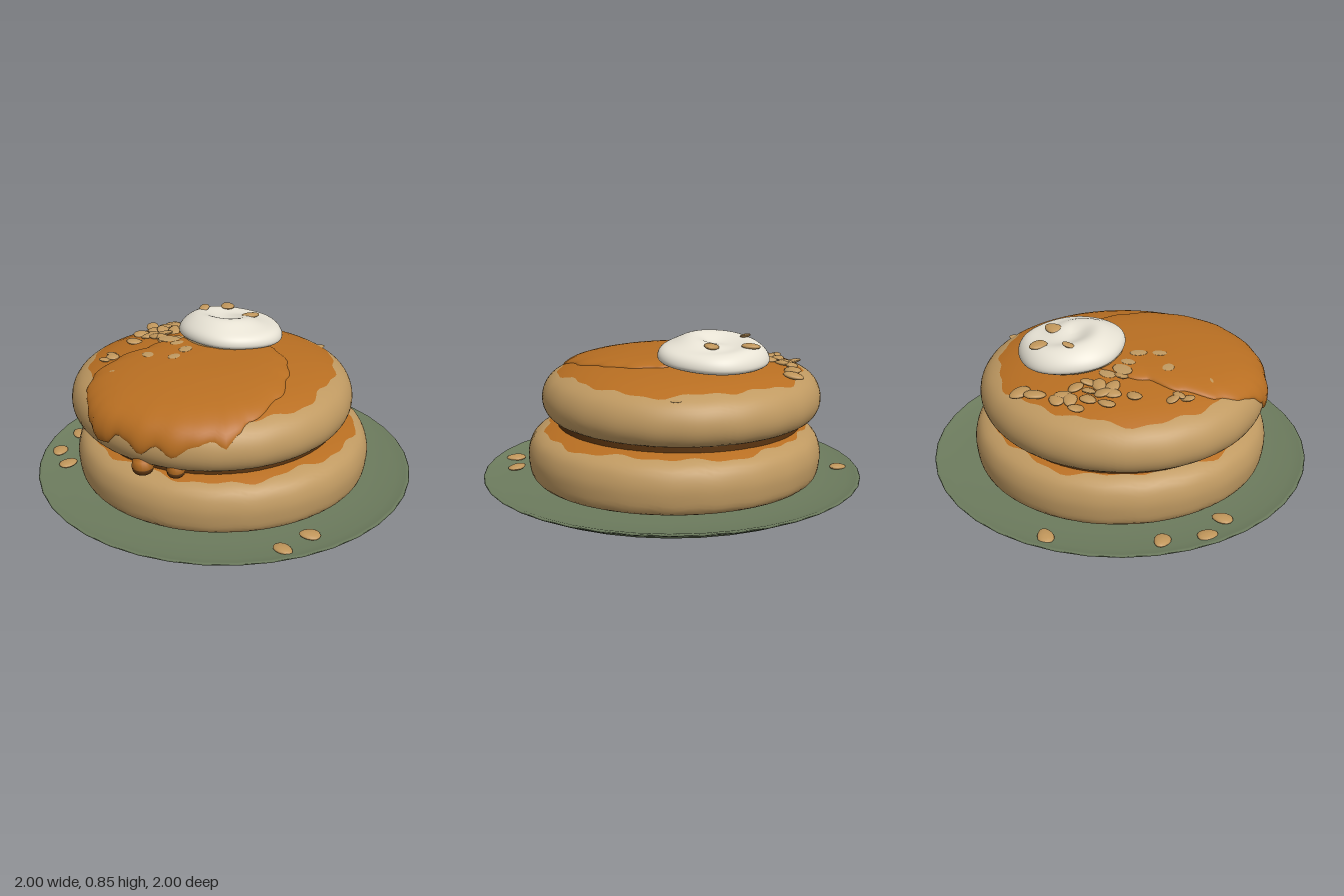
import * as THREE from 'three';

const mat = (name, color, side = THREE.FrontSide) => {
  const m = new THREE.MeshStandardMaterial({ color, side });
  m.name = name;
  return m;
};
const TAU = Math.PI * 2;

// Closed ring surface: point(angle, row) gives each vertex; bands = [rowCount, materialIndex]
function ringSurface(segs, bands, point) {
  const rows = bands.reduce((n, b) => n + b[0], 0);
  const pos = [], index = [];
  for (let i = 0; i <= rows; i++)
    for (let j = 0; j < segs; j++) pos.push(...point((j / segs) * TAU, i));
  for (let i = 0; i < rows; i++)
    for (let j = 0; j < segs; j++) {
      const k = (j + 1) % segs, a = i * segs + j, b = i * segs + k;
      index.push(a, b, a + segs, b, b + segs, a + segs);
    }
  const g = new THREE.BufferGeometry();
  g.setAttribute('position', new THREE.Float32BufferAttribute(pos, 3));
  g.setIndex(index);
  let start = 0;
  for (const [n, m] of bands) {
    g.addGroup(start, n * segs * 6, m);
    start += n * segs * 6;
  }
  g.computeVertexNormals();
  return g;
}

// Half section from the top centre to the bottom centre
const section = (pts) => new THREE.CatmullRomCurve3(pts.map(([r, y]) => new THREE.Vector3(r, y, 0)));
const upper = section([[0, 0.715], [0.3, 0.703], [0.5, 0.675], [0.62, 0.642], [0.7, 0.595], [0.735, 0.53],
  [0.735, 0.46], [0.7, 0.405], [0.62, 0.385], [0.3, 0.385], [0, 0.385]]);
const lower = section([[0, 0.385], [0.3, 0.382], [0.55, 0.37], [0.66, 0.352], [0.74, 0.31], [0.77, 0.24],
  [0.77, 0.17], [0.755, 0.11], [0.72, 0.085], [0.3, 0.08], [0, 0.08]]);
const UP = { x: -0.065, z: -0.005 };

// Two-tone pancake: browned top, pale side, browned underside
function pancake(curve, capReach, seed) {
  const len = curve.getLength();
  const edge = (a, s) => 0.014 * Math.sin(5 * a + s) + 0.012 * Math.sin(11 * a + 2 * s) + 0.008 * Math.sin(23 * a + s);
  return ringSurface(120, [[12, 0], [18, 1], [6, 0]], (a, i) => {
    const t1 = (capReach + edge(a, seed)) / len;
    const t2 = 1 - (0.63 + edge(a, seed + 2)) / len;
    const u = i <= 12 ? t1 * i / 12 : i <= 30 ? t1 + (t2 - t1) * (i - 12) / 18 : t2 + (1 - t2) * (i - 30) / 6;
    const p = curve.getPointAt(Math.min(1, u));
    const w = 1 + 0.006 * Math.sin(3 * a + seed);
    return [p.x * w * Math.cos(a), p.y, p.x * w * Math.sin(a)];
  });
}

// Reach of the syrup along the section: [angle in degrees, distance]
const reach = [[0, 0.4], [20, 0.46], [40, 0.56], [60, 0.67], [66, 0.74], [70, 0.8], [75, 0.76], [82, 0.79],
  [90, 0.85], [96, 0.8], [103, 0.86], [108, 0.81], [113, 0.79], [119, 0.86], [124, 0.87], [129, 0.8], [136, 0.73],
  [142, 0.7], [152, 0.63], [165, 0.5], [180, 0.36], [215, 0.27], [270, 0.2], [310, 0.25], [335, 0.34], [360, 0.4]];
function reachAt(a) {
  const d = THREE.MathUtils.radToDeg(a) % 360;
  const k = reach.findIndex((e) => e[0] > d), [d0, r0] = reach[k - 1], [d1, r1] = reach[k];
  const f = (d - d0) / (d1 - d0);
  return r0 + (r1 - r0) * f * f * (3 - 2 * f);
}
function syrupSheet() {
  const len = upper.getLength(), rows = 26;
  return ringSurface(180, [[rows, 0]], (a, i) => {
    const v = 1 - (1 - i / rows) ** 1.6, u = v * reachAt(a) / len;
    const p = upper.getPointAt(u), t = upper.getTangentAt(u);
    const off = 0.026 * Math.sqrt(Math.max(0, 1 - v ** 8)) - 0.004;
    const r = i === 0 ? 0 : p.x - t.y * off;
    return [r * Math.cos(a), p.y + t.x * off, r * Math.sin(a)];
  });
}

// Height of the stack's top
function topY(x, z) {
  const r = Math.hypot(x - UP.x, z - UP.z);
  return r < 0.3 ? 0.715 - 0.13 * r * r : r < 0.62 ? 0.703 - 0.19 * (r - 0.3) : 0.642 - 0.6 * (r - 0.62);
}

// Whipped cream: tilted dollop with a swirl and a dimple
const CREAM = { x: -0.03, z: -0.268, r: 0.278 };
function creamY(q, a) {
  const x = q * Math.cos(a), z = q * Math.sin(a);
  const dome = 0.088 * Math.sqrt(Math.max(0, 1 - q ** 4));
  const swirl = 0.018 * Math.sin(Math.PI * Math.min(1, q)) * Math.cos(a - 1.9 - 5 * (q - 0.5));
  const dimple = -0.02 * Math.exp(-((q / 0.28) ** 2));
  return 0.738 + 0.022 * z - 0.006 * x + dome + swirl + dimple;
}
function cream() {
  const up = 22, under = 6;
  return ringSurface(72, [[up + under, 0]], (a, i) => {
    const edge = 1 + 0.025 * Math.sin(2 * a + 0.6) + 0.012 * Math.sin(5 * a);
    const q = i <= up ? Math.sin((i / up) * Math.PI / 2) : 1 - 0.2 * ((i - up) / under) ** 2;
    const y = i <= up ? creamY(q, a) : creamY(1, a) - 0.028 * Math.sin(((i - up) / under) * Math.PI / 2);
    const r = q * edge * CREAM.r;
    return [r * Math.cos(a), y, r * Math.sin(a)];
  });
}

export function createModel() {
  const root = new THREE.Group();
  const green = mat('plateGreen', 0x6d7c5e, THREE.DoubleSide);
  const brown = mat('syrupBrown', 0xb96f22);
  const tan = mat('pancakeTan', 0xc09a62);
  const dark = mat('darkSyrup', 0x5a3410);
  const white = mat('creamWhite', 0xe8e3d5);
  const nutTan = mat('nutTan', 0xbf955a);
  const add = (name, geo, m, x = 0, y = 0, z = 0) => {
    const o = new THREE.Mesh(geo, m);
    o.name = name;
    o.position.set(x, y, z);
    root.add(o);
    return o;
  };

  // Plate
  const plate = [[0, 0], [0.52, 0], [0.54, 0.008], [0.72, 0.025], [0.9, 0.045], [0.99, 0.088], [1, 0.095], [0.995, 0.1],
    [0.98, 0.099], [0.93, 0.083], [0.8, 0.073], [0.6, 0.068], [0, 0.065]];
  add('plate', new THREE.LatheGeometry(plate.map(([r, y]) => new THREE.Vector2(r, y)), 40), green);

  // Stack with syrup filling
  add('bottomPancake', pancake(lower, 0.69, 1.3), [brown, tan], -0.01, 0, -0.005);
  add('filling', new THREE.CylinderGeometry(0.645, 0.645, 0.045, 64), dark, -0.045, 0.37, -0.005);
  add('topPancake', pancake(upper, 0.65, 4.1), [brown, tan], UP.x, 0, UP.z);
  add('syrup', syrupSheet(), brown, UP.x, 0, UP.z);

  // Hanging drips
  for (const [x, w] of [[-0.23, 0.055], [-0.065, 0.046]]) {
    const drip = [[0, -0.05], [0.6, -0.042], [1, -0.01], [0.85, 0.025], [0.4, 0.05], [0.3, 0.09], [0.4, 0.13]]
      .map(([r, y]) => new THREE.Vector2(r * w, y));
    add('drip', new THREE.LatheGeometry(drip, 20), brown, x, 0.395, 0.668);
    const tip = add('dripTip', new THREE.SphereGeometry(w * 0.96, 20, 10), dark, x, 0.375, 0.668);
    tip.scale.y = 0.7;
  }

  // Pale spots on the browned top: x, z, radius
  for (const [x, z, r] of [[0.42, -0.02, 0.028], [0.29, -0.35, 0.032], [0.3, -0.22, 0.025], [0.42, -0.46, 0.035],
    [-0.33, -0.1, 0.055], [-0.27, -0.05, 0.035], [-0.2, 0.03, 0.04], [-0.36, 0.12, 0.045], [-0.23, 0.13, 0.035],
    [-0.31, -0.17, 0.045]]) {
    const inSyrup = Math.hypot(x - UP.x, z - UP.z) < reachAt((Math.atan2(z - UP.z, x - UP.x) + TAU) % TAU);
    const spot = add('paleSpot', new THREE.SphereGeometry(r, 14, 8), tan, x, topY(x, z) + (inSyrup ? 0.021 : 0), z);
    spot.scale.set(1.1, 0.1, 0.8);
    spot.rotation.y = x * 9;
  }

  // Cream on a thin pale base
  const base = add('creamBase', new THREE.SphereGeometry(0.262, 40, 12), tan, CREAM.x, 0.717, CREAM.z);
  base.scale.y = 0.1;
  base.rotation.x = -0.07;
  add('cream', cream(), white, CREAM.x, 0, CREAM.z);

  // Chopped nuts: flat tapered ovals
  const nutGeo = new THREE.SphereGeometry(1, 14, 10);
  const p = nutGeo.attributes.position;
  for (let i = 0; i < p.count; i++) p.setZ(i, p.getZ(i) * (1 - 0.2 * p.getX(i)));
  nutGeo.computeVertexNormals();
  let n = 0;
  const nut = (x, y, z, size, tilt) => {
    const o = add('nut', nutGeo, nutTan, x, y, z);
    o.scale.set(size, size * 0.28, size * 0.75);
    o.rotation.set(tilt * Math.sin(n * 2.1), n * 2.4, tilt * Math.cos(n * 1.7));
    n++;
  };
  for (const [x, z] of [[-0.67, -0.6], [-0.88, -0.09], [-0.91, 0.13], [-0.81, 0.25], [0.58, 0.61], [0.48, 0.76]])
    nut(x, 0.088, z, 0.053, 0.08);
  for (const [x, z] of [[-0.27, -0.6], [-0.33, -0.54], [-0.42, -0.46], [-0.45, -0.4], [-0.52, -0.39], [-0.4, -0.42],
    [-0.48, -0.32], [-0.42, -0.3], [-0.37, -0.35], [-0.46, -0.24], [-0.54, -0.25], [-0.4, -0.24], [-0.43, -0.18],
    [-0.36, -0.28], [-0.48, -0.2], [-0.53, -0.11], [-0.37, -0.12], [-0.6, 0.06], [-0.61, 0.13], [-0.58, 0.1],
    [-0.51, 0.28]])
    nut(x, topY(x, z) + 0.016, z, z < -0.5 ? 0.056 : z > 0 ? 0.036 : 0.045, 0.25);
  for (const [x, z] of [[-0.1, -0.46], [-0.2, -0.33], [0.06, -0.34]]) {
    const dx = x - CREAM.x, dz = z - CREAM.z;
    nut(x, creamY(Math.hypot(dx, dz) / CREAM.r, Math.atan2(dz, dx)) + 0.004, z, x < -0.15 ? 0.035 : 0.05, 0.2);
  }
  return root;
}
